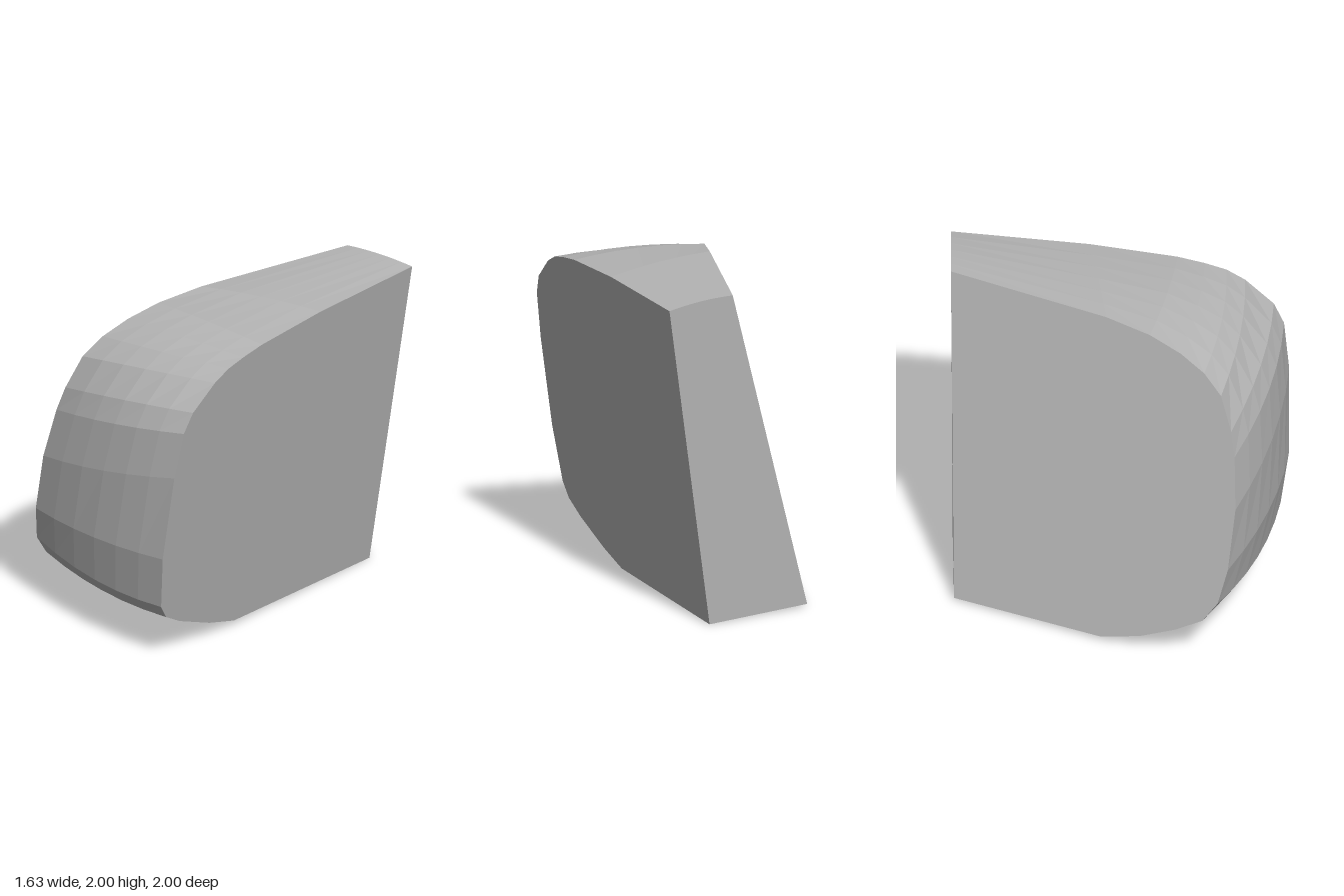
import * as THREE from 'three';

// Paired outline points: left y, left z, right y, right z, mid-span bulge in y, in z
const ROWS = [
  [0.015, -0.98, 0.0, -0.99, 0, 0],
  [0.03, -0.11, 0.03, 0.23, 0, 0],
  [0.1, 0.12, 0.1, 0.46, -0.02, 0.02],
  [0.2, 0.33, 0.22, 0.75, -0.025, 0.03],
  [0.3, 0.49, 0.3, 0.89, -0.025, 0.04],
  [0.43, 0.58, 0.39, 0.95, -0.03, 0.05],
  [0.65, 0.64, 0.73, 1.0, 0, 0.06],
  [1.03, 0.685, 1.28, 1.0, 0, 0.06],
  [1.35, 0.68, 1.57, 0.97, 0.01, 0.06],
  [1.5, 0.66, 1.69, 0.91, 0.02, 0.05],
  [1.7, 0.6, 1.83, 0.74, 0.02, 0.04],
  [1.81, 0.5, 1.885, 0.63, 0.02, 0.04],
  [1.89, 0.36, 1.915, 0.5, 0.02, 0.03],
  [1.95, 0.18, 1.94, 0.34, 0.02, 0.02],
  [1.985, -0.08, 1.97, -0.18, 0.016, 0],
  [1.998, -1.0, 1.97, -1.0, 0.012, 0],
];
const COLS = 6;

// The two flat sides lie on slanted planes
const leftX = (y, z) => -0.655 + 0.268 * y - 0.482 * z;
const rightX = (y, z) => 0.366 + 0.147 * y - 0.156 * z;

function point(i, j) {
  const [yl, zl, yr, zr, by, bz] = ROWS[i % ROWS.length];
  const t = j / COLS;
  const bulge = 4 * t * (1 - t);
  const mix = THREE.MathUtils.lerp;
  return [
    mix(leftX(yl, zl), rightX(yr, zr), t),
    mix(yl, yr, t) + by * bulge,
    mix(zl, zr, t) + bz * bulge,
  ];
}

function facets(name, positions, material) {
  const geometry = new THREE.BufferGeometry();
  geometry.setAttribute('position', new THREE.Float32BufferAttribute(positions, 3));
  geometry.computeVertexNormals();
  const mesh = new THREE.Mesh(geometry, material);
  mesh.name = name;
  return mesh;
}

// Strips between neighbouring outline points, from one flat side to the other
function band(first, last) {
  const out = [];
  for (let i = first; i < last; i++) {
    for (let j = 0; j < COLS; j++) {
      const a = point(i, j), b = point(i, j + 1);
      const c = point(i + 1, j + 1), d = point(i + 1, j);
      out.push(...a, ...b, ...c, ...a, ...c, ...d);
    }
  }
  return out;
}

// Flat side as a fan over the convex outline
function side(j) {
  const out = [];
  for (let i = 1; i < ROWS.length - 1; i++) {
    const pair = j === 0 ? [i, i + 1] : [i + 1, i];
    out.push(...point(0, j), ...point(pair[0], j), ...point(pair[1], j));
  }
  return out;
}

export function createModel() {
  const grey = new THREE.MeshStandardMaterial({ color: 0xb4b4b4 });
  grey.name = 'grey';
  grey.flatShading = true;

  const group = new THREE.Group();
  group.name = 'roundedWedge';
  const n = ROWS.length;
  group.add(
    facets('base', band(0, 1), grey),
    facets('curvedFront', band(1, n - 1), grey),
    facets('backFace', band(n - 1, n), grey),
    facets('rightSide', side(0), grey),
    facets('leftSide', side(COLS), grey),
  );
  return group;
}
